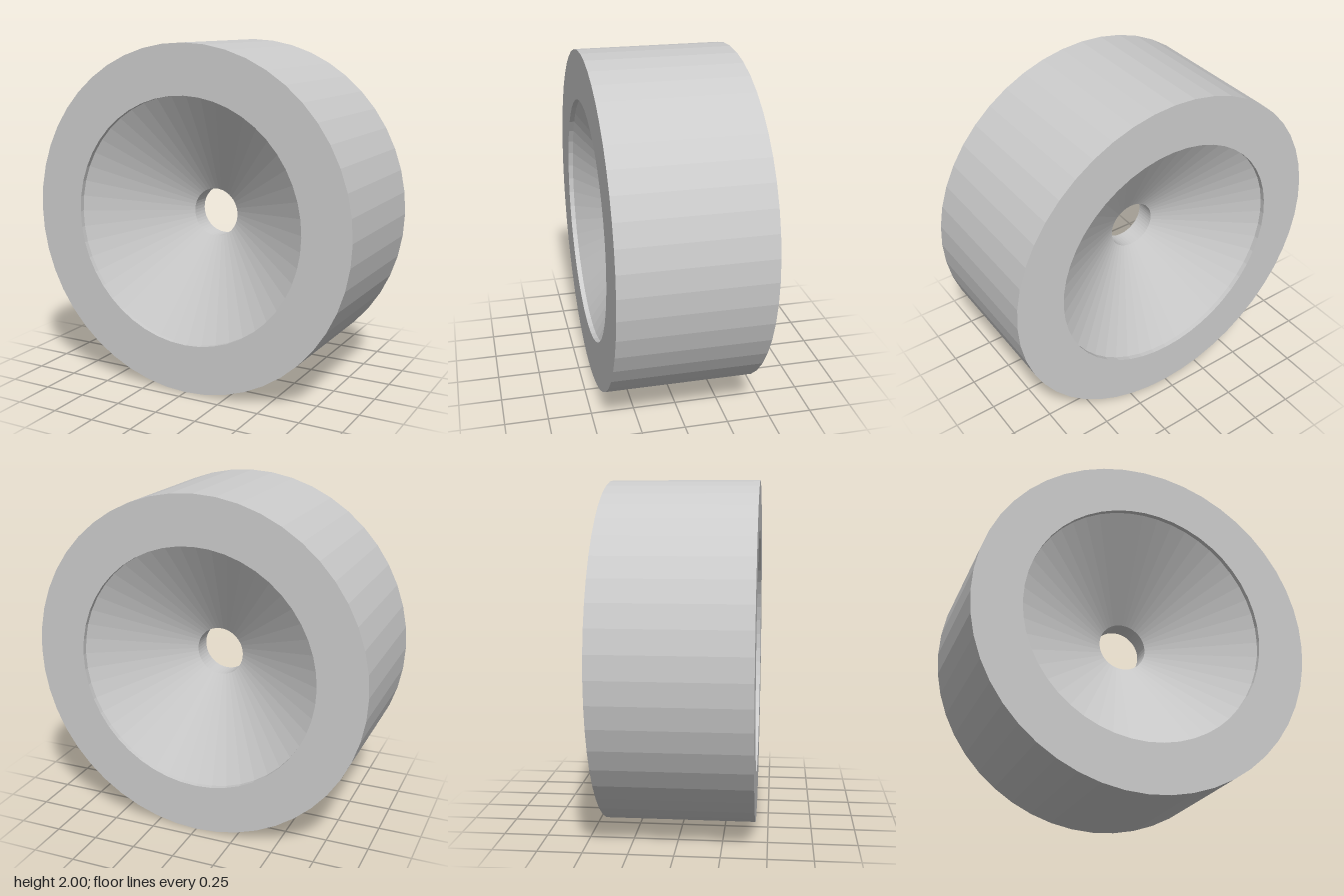
import * as THREE from 'three';

export function createModel() {
  const group = new THREE.Group();
  const outer = 1, recess = 5 / 7, bore = 1 / 7; // radii
  const half = 3 / 7, lip = 0.4, web = 0.057;    // distances from the mid plane

  // Closed cross-section: rim, front face, lip, cone, bore, then the same mirrored at the back
  const profile = [
    [outer, -half], [outer, half],
    [recess, half], [recess, lip], [bore, web],
    [bore, -web], [recess, -lip], [recess, -half],
    [outer, -half],
  ].map(([r, y]) => new THREE.Vector2(r, y));

  const wheel = new THREE.Mesh(
    new THREE.LatheGeometry(profile, 48),
    new THREE.MeshStandardMaterial({ color: 0xcccccc, flatShading: true })
  );
  wheel.name = 'wheel';
  wheel.rotation.x = Math.PI / 2; // axle along z
  wheel.position.y = outer;
  group.add(wheel);
  return group;
}
